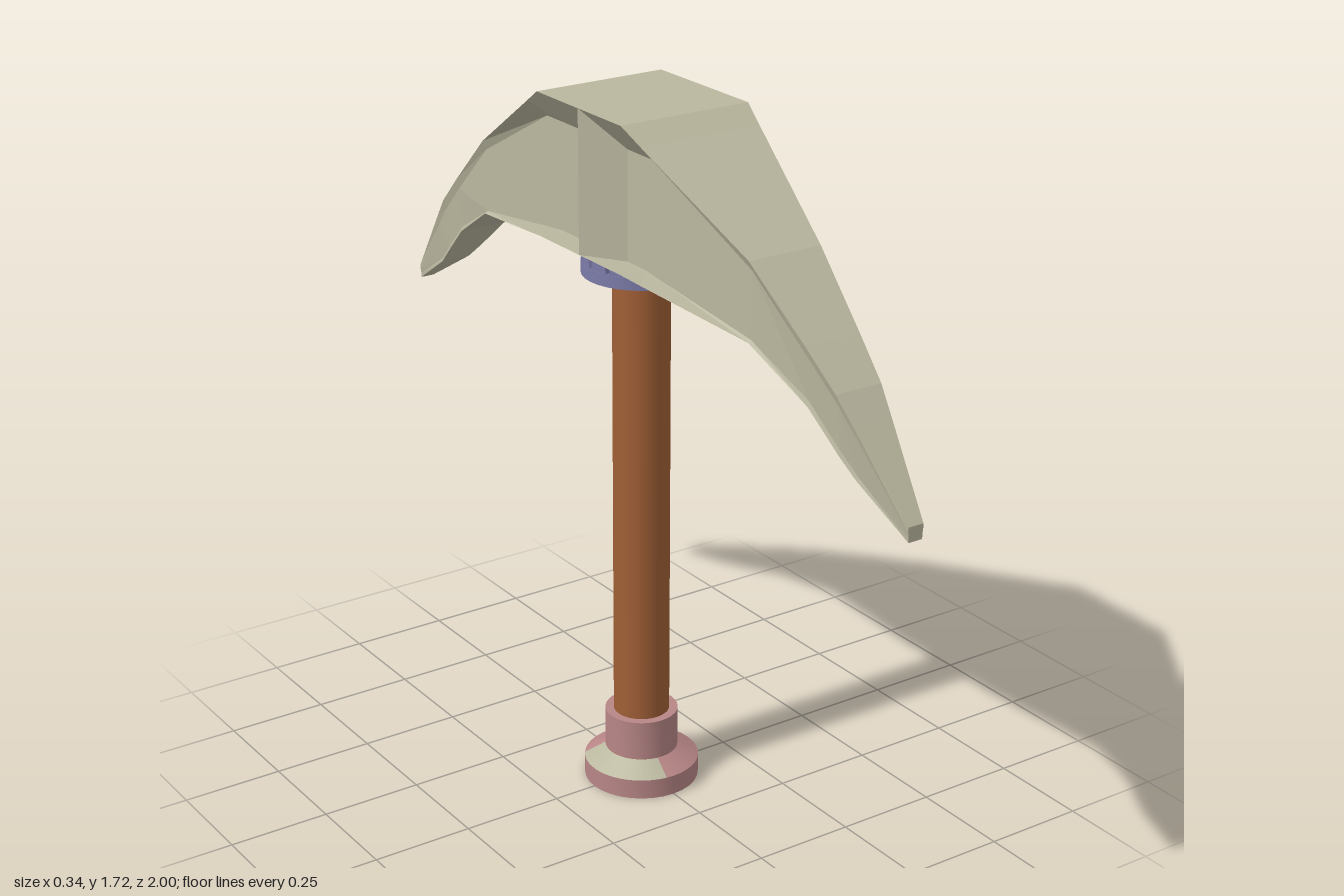
import * as THREE from 'three';
import { toCreasedNormals } from 'three/addons/utils/BufferGeometryUtils.js';

const stone = new THREE.MeshStandardMaterial({ color: 0xbab79f });
stone.name = 'stone';
const wood = new THREE.MeshStandardMaterial({ color: 0xa05f36 });
wood.name = 'wood';
const rose = new THREE.MeshStandardMaterial({ color: 0xb88686 });
rose.name = 'rose';
const blue = new THREE.MeshStandardMaterial({ color: 0x7c7caa });
blue.name = 'blue';

// Half sections from the middle to the tip: z, then half width and height of
// the top edge, the recessed wall's upper and lower edge, and the bottom edge
const sections = [
  [0, 0.17, 1.72, 0.17, 1.72, 0.17, 1.38, 0.17, 1.38],
  [0.1, 0.17, 1.72, 0.105, 1.64, 0.105, 1.38, 0.17, 1.38],
  [0.17, 0.17, 1.72, 0.105, 1.64, 0.105, 1.38, 0.17, 1.38],
  [0.23, 0.158, 1.684, 0.105, 1.64, 0.105, 1.373, 0.158, 1.37],
  [0.54, 0.095, 1.503, 0.085, 1.48, 0.085, 1.325, 0.093, 1.32],
  [0.71, 0.072, 1.36, 0.065, 1.335, 0.058, 1.235, 0.062, 1.223],
  [0.8, 0.06, 1.28, 0.053, 1.255, 0.046, 1.155, 0.049, 1.143],
  [0.85, 0.05, 1.222, 0.045, 1.2, 0.036, 1.11, 0.039, 1.1],
  [1, 0.02, 1.045, 0.02, 1.035, 0.018, 1.02, 0.018, 1.01],
];

function headGeometry() {
  const rows = [...sections.slice(1).reverse().map(([z, ...s]) => [-z, ...s]), ...sections];
  const rings = rows.map(([z, wt, yt, ws, ys, wk, yk, wb, yb]) => [
    [wt, yt], [-wt, yt], [-ws, ys], [-wk, yk], [-wb, yb], [wb, yb], [wk, yk], [ws, ys],
  ].map(([x, y]) => [x, y, z]));
  const positions = [];
  const triangle = (a, b, c) => positions.push(...a, ...b, ...c);
  for (let i = 0; i < rings.length - 1; i++) {
    for (let j = 0; j < 8; j++) {
      const k = (j + 1) % 8;
      triangle(rings[i][j], rings[i][k], rings[i + 1][k]);
      triangle(rings[i][j], rings[i + 1][k], rings[i + 1][j]);
    }
  }
  // Blunt tips
  const back = rings[0], front = rings[rings.length - 1];
  for (let j = 1; j < 7; j++) {
    triangle(front[0], front[j], front[j + 1]);
    triangle(back[0], back[j + 1], back[j]);
  }
  const geometry = new THREE.BufferGeometry();
  geometry.setAttribute('position', new THREE.Float32BufferAttribute(positions, 3));
  geometry.computeVertexNormals();
  return geometry;
}

function lathe(points, startDegrees = 0, sweepDegrees = 360) {
  const profile = points.map(([r, y]) => new THREE.Vector2(r, y));
  const geometry = new THREE.LatheGeometry(profile, 32,
    THREE.MathUtils.degToRad(startDegrees), THREE.MathUtils.degToRad(sweepDegrees));
  return toCreasedNormals(geometry, 0.5);
}

export function createModel() {
  const model = new THREE.Group();
  model.name = 'pickaxe';
  const add = (name, geometry, material, parent = model) => {
    const mesh = new THREE.Mesh(geometry, material);
    mesh.name = name;
    parent.add(mesh);
    return mesh;
  };

  add('head', headGeometry(), stone);

  // Handle, set slightly up inside the hollow pommel
  const handle = add('handle', new THREE.CylinderGeometry(0.068, 0.068, 1.36, 32), wood);
  handle.position.y = 0.72;

  // Pommel: hollow foot, two-coloured slope and sleeve
  const pommel = new THREE.Group();
  pommel.name = 'pommel';
  model.add(pommel);
  add('pommelFoot', lathe([[0.069, 0.05], [0.069, 0], [0.14, 0], [0.14, 0.05]]), rose, pommel);
  const slope = [[0.14, 0.05], [0.089, 0.08]];
  add('pommelSlope', lathe(slope, 352, 243), rose, pommel);
  add('pommelSlopePatch', lathe(slope, 235, 117), stone, pommel);
  add('pommelSleeve', lathe([[0.089, 0.08], [0.089, 0.18], [0.067, 0.18]]), rose, pommel);

  // Collar under the head: core, rim and a crown of teeth
  const collar = new THREE.Group();
  collar.name = 'collar';
  model.add(collar);
  add('collarCore', new THREE.CylinderGeometry(0.115, 0.115, 0.07, 32), blue, collar).position.y = 1.35;
  add('collarRim', new THREE.CylinderGeometry(0.14, 0.14, 0.03, 32), blue, collar).position.y = 1.325;
  const toothShape = new THREE.Shape([[-0.024, 0], [0.024, 0], [0.014, 0.045], [-0.014, 0.045]]
    .map(([x, y]) => new THREE.Vector2(x, y)));
  const tooth = new THREE.ExtrudeGeometry(toothShape, { depth: 0.03, bevelEnabled: false });
  tooth.translate(0, 1.338, 0.108);
  for (let i = 0; i < 16; i++) {
    add('collarTooth', tooth, blue, collar).rotation.y = ((i + 0.5) / 16) * Math.PI * 2;
  }
  return model;
}
